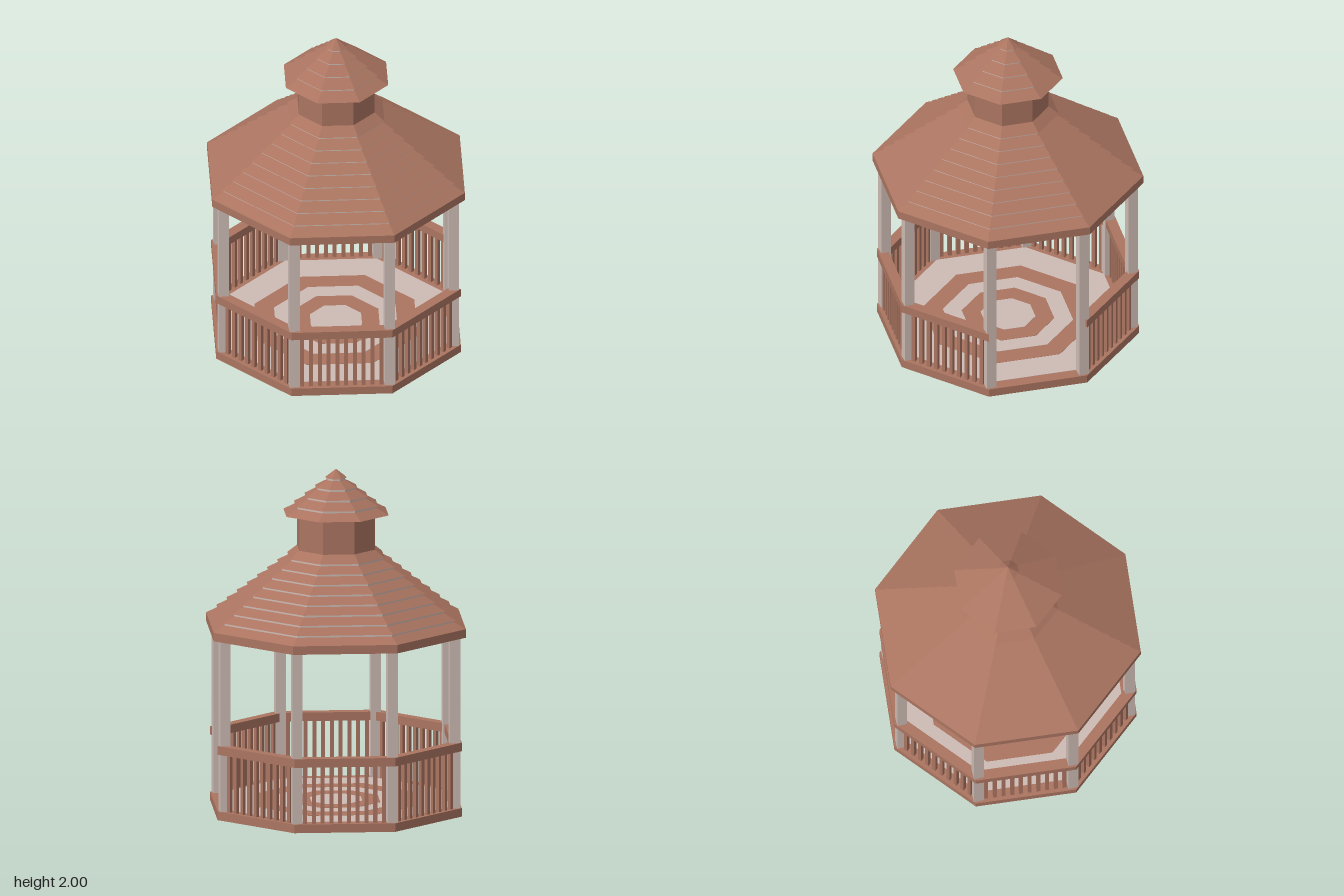
import * as THREE from 'three';

const SIDES = 8;
const STEP = (Math.PI * 2) / SIDES;
const TURN = THREE.MathUtils.degToRad(6.5); // whole octagon is slightly turned

const wood = new THREE.MeshStandardMaterial({ color: 0xaa7460, flatShading: true });
const pale = new THREE.MeshStandardMaterial({ color: 0xcdbbb4, flatShading: true });

function add(parent, name, geometry, material) {
  const mesh = new THREE.Mesh(geometry, material);
  mesh.name = name;
  parent.add(mesh);
  return mesh;
}

// Octagonal prism or frustum standing on y0
function octagon(parent, name, rBottom, rTop, y0, y1, material) {
  const geometry = new THREE.CylinderGeometry(rTop, rBottom, y1 - y0, SIDES, 1, false, TURN);
  return add(parent, name, geometry.translate(0, (y0 + y1) / 2, 0), material);
}

// Corner i of the octagon at radius r
function corner(i, r) {
  const a = TURN + i * STEP;
  return new THREE.Vector3(Math.sin(a) * r, 0, Math.cos(a) * r);
}

// Overlapping shingle courses, with pale risers between them
function shingles(parent, count, r0, r1, y0, y1) {
  const dr = (r0 - r1) / count;
  const dy = (y1 - y0) / count;
  for (let i = 0; i < count; i++) {
    const r = r0 - dr * i;
    const y = y0 + dy * i;
    const top = Math.max(r - dr - 0.01, 0);
    if (i === count - 1) {
      octagon(parent, 'topCourse', r, r1, y, y1, wood);
    } else {
      octagon(parent, 'shingleCourse', r, top, y, y + dy * 0.76, wood);
      octagon(parent, 'riser', top, top, y + dy * 0.7, y + dy, pale);
    }
  }
}

export function createModel() {
  const gazebo = new THREE.Group();
  gazebo.name = 'gazebo';

  // Floor slab with alternating inlaid rings
  const floor = new THREE.Group();
  floor.name = 'floor';
  gazebo.add(floor);
  octagon(floor, 'floorSlab', 0.765, 0.765, 0, 0.05, wood);
  [0.69, 0.5, 0.38, 0.27, 0.16].forEach((r, i) => {
    octagon(floor, 'floorRing', r, r, 0.045, 0.0515 + i * 0.0012, i % 2 ? wood : pale);
  });

  // Corner posts
  const posts = new THREE.Group();
  posts.name = 'posts';
  gazebo.add(posts);
  for (let i = 0; i < SIDES; i++) {
    const post = add(posts, 'post', new THREE.BoxGeometry(0.059, 1.02, 0.059), pale);
    post.position.copy(corner(i, 0.72)).setY(0.55);
    post.rotation.y = THREE.MathUtils.degToRad(-11);
  }

  // Handrail around seven sides, the side between corners 1 and 2 is the entrance
  const railing = new THREE.Group();
  railing.name = 'railing';
  gazebo.add(railing);
  const outline = [];
  for (let i = 2; i <= 9; i++) outline.push(corner(i, 0.765));
  for (let i = 9; i >= 2; i--) outline.push(corner(i, 0.7));
  const railShape = new THREE.Shape(outline.map((p) => new THREE.Vector2(p.x, -p.z)));
  const rail = new THREE.ExtrudeGeometry(railShape, { depth: 0.05, bevelEnabled: false });
  add(railing, 'handrail', rail.rotateX(-Math.PI / 2).translate(0, 0.385, 0), wood);

  // Balusters
  const perSide = 10;
  const balusterGeometry = new THREE.BoxGeometry(0.022, 0.34, 0.022);
  for (let i = 2; i < 9; i++) {
    const a = corner(i, 0.73);
    const b = corner(i + 1, 0.73);
    for (let k = 1; k <= perSide; k++) {
      const baluster = add(railing, 'baluster', balusterGeometry, wood);
      baluster.position.lerpVectors(a, b, k / (perSide + 1)).setY(0.22);
      baluster.rotation.y = TURN + (i + 0.5) * STEP;
    }
  }

  // Main roof
  const roof = new THREE.Group();
  roof.name = 'mainRoof';
  gazebo.add(roof);
  octagon(roof, 'fascia', 0.79, 0.79, 1.055, 1.105, wood);
  shingles(roof, 9, 0.79, 0.235, 1.105, 1.54);

  // Cupola with its own small roof
  const cupola = new THREE.Group();
  cupola.name = 'cupola';
  gazebo.add(cupola);
  octagon(cupola, 'cupolaWall', 0.237, 0.237, 1.52, 1.75, wood);
  shingles(cupola, 5, 0.32, 0, 1.745, 2);

  return gazebo;
}
